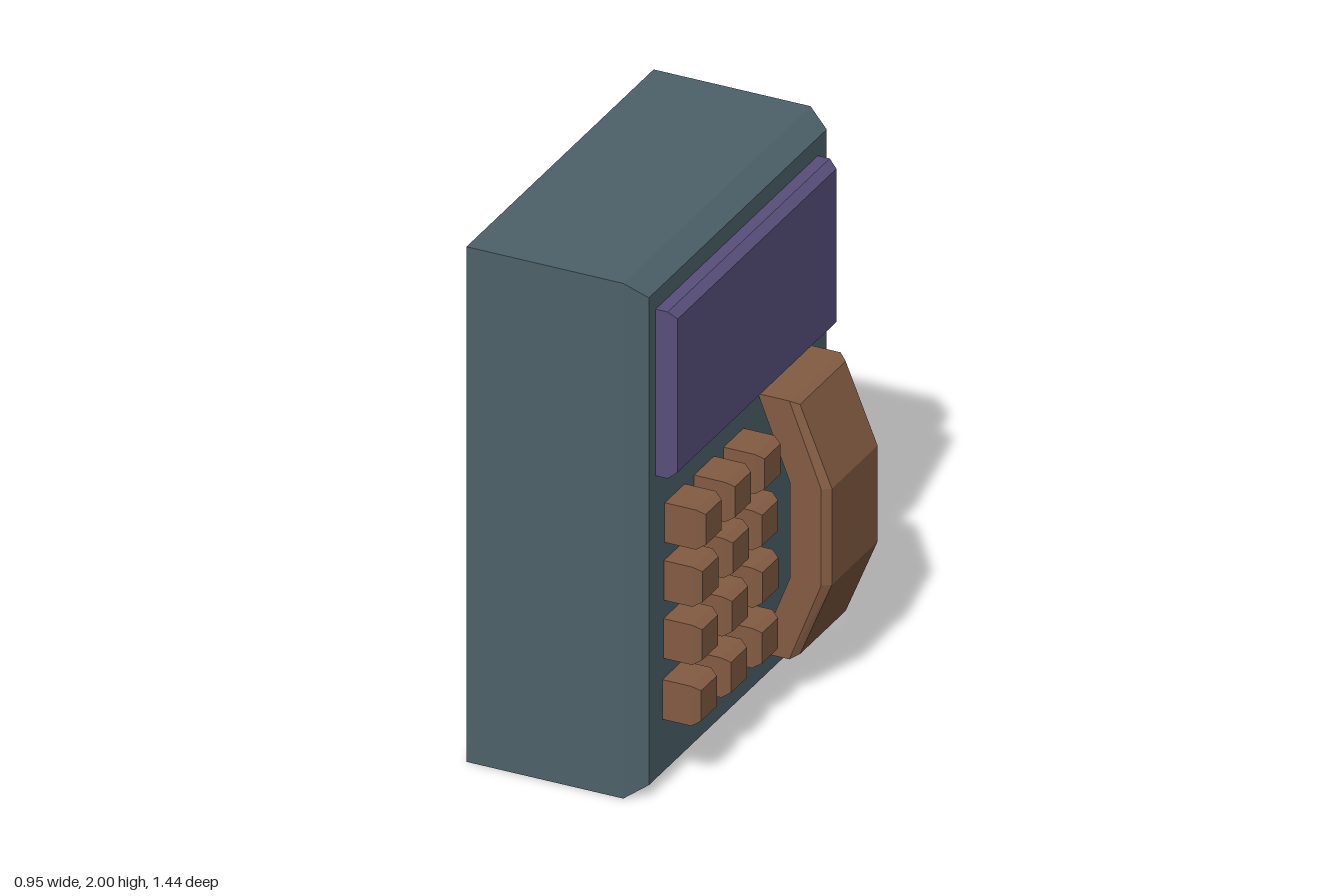
import * as THREE from 'three';

const paint = (color) => new THREE.MeshStandardMaterial({ color, flatShading: true });

// Skin a list of matching cross-sections and cap both ends.
// Rings run counter-clockwise as seen from the last ring's end.
function loft(rings) {
  const n = rings[0].length, index = [];
  for (let r = 0; r < rings.length - 1; r++) {
    for (let i = 0; i < n; i++) {
      const a = r * n + i, b = r * n + (i + 1) % n;
      index.push(a, b, b + n, a, b + n, a + n);
    }
  }
  const last = (rings.length - 1) * n;
  for (let k = 2; k < n; k++) {
    const p = k, q = (k + 1) % n;
    index.push(last + 1, last + p, last + q, 1, q, p);
  }
  const geo = new THREE.BufferGeometry();
  geo.setAttribute('position', new THREE.Float32BufferAttribute(rings.flat(2), 3));
  geo.setIndex(index);
  const flat = geo.toNonIndexed();
  flat.computeVertexNormals();
  return flat;
}

// Block standing out toward +x, with its outer face bevelled all round.
function bevelBlock([x0, xBevel, x1], [y0, y1], [z0, z1], insetY, insetZ) {
  const ring = (x, dy, dz) => [
    [x, y0 + dy, z1 - dz], [x, y0 + dy, z0 + dz],
    [x, y1 - dy, z0 + dz], [x, y1 - dy, z1 - dz],
  ];
  return loft([ring(x0, 0, 0), ring(xBevel, 0, 0), ring(x1, insetY, insetZ)]);
}

export function createModel() {
  const model = new THREE.Group();
  const casing = paint(0x4d6169), violet = paint(0x584f7b), brown = paint(0x845c43);
  const add = (name, geo, mat, parent = model) => {
    const mesh = new THREE.Mesh(geo, mat);
    mesh.name = name;
    parent.add(mesh);
  };

  // Housing and display panel
  add('housing', bevelBlock([-0.48, 0.12, 0.2], [0, 2], [-0.72, 0.72], 0.054, 0.036), casing);
  add('screen', bevelBlock([0.19, 0.246, 0.278], [1.23, 1.877], [-0.615, 0.632], 0.026, 0.013), violet);

  // Keypad: four slightly uneven rows of three keys
  const keypad = new THREE.Group();
  keypad.name = 'keypad';
  model.add(keypad);
  const rows = [
    { y: 1.015, z: [0.485, 0.26, 0.033], top: 0.349 },
    { y: 0.794, z: [0.492, 0.258, 0.033], top: 0.34 },
    { y: 0.57, z: [0.495, 0.264, 0.031], top: 0.34 },
    { y: 0.337, z: [0.503, 0.272, 0.033], top: 0.34 },
  ];
  const h = 0.077;
  rows.forEach(({ y, z, top }, r) => z.forEach((zc, c) => add(
    `key${r * 3 + c + 1}`,
    bevelBlock([0.19, top - 0.03, top], [y - h, y + h], [zc - h, zc + h], 0.018, 0.016),
    brown, keypad)));

  // Handset: bowed bar with a bevelled outer face, sections from bottom to top
  const zMin = -0.55, zMax = -0.155, inset = 0.022;
  const section = (x, y, yOuter) => [
    [x, y, zMax], [x + 0.12, y, zMax], [x + 0.15, yOuter, zMax - inset],
    [x + 0.15, yOuter, zMin + inset], [x + 0.12, y, zMin], [x, y, zMin],
  ];
  add('handset', loft([
    section(0.2, 0.17, 0.187), section(0.322, 0.485, 0.485),
    section(0.322, 0.858, 0.858), section(0.2, 1.173, 1.156),
  ]), brown);

  return model;
}
